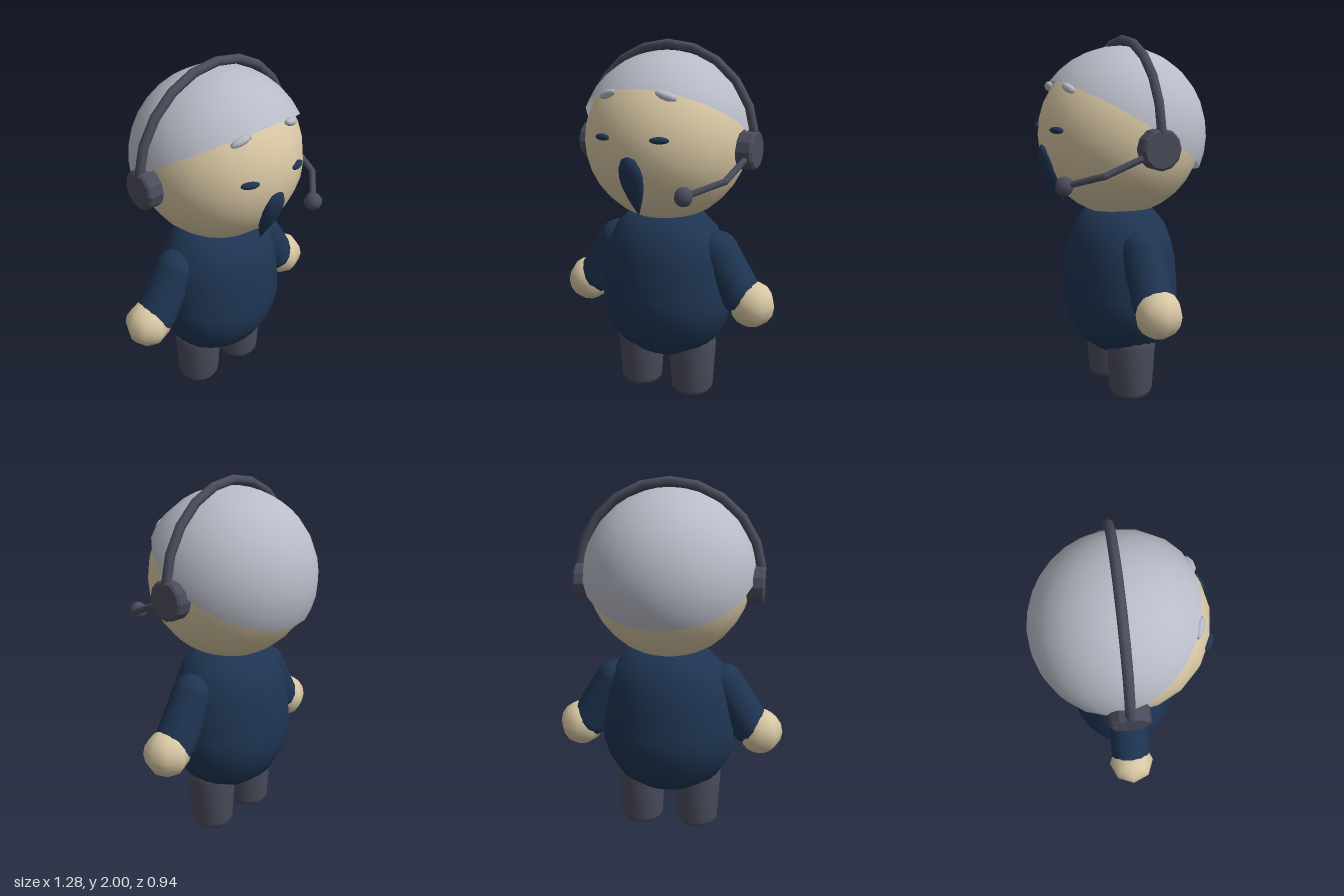
import * as THREE from 'three';

const mat = (name, color, side = THREE.FrontSide) => {
  const m = new THREE.MeshStandardMaterial({ color, side });
  m.name = name;
  return m;
};

export function createModel() {
  const model = new THREE.Group();
  model.name = 'headsetFigure';
  const skin = mat('skin', 0xd8c7a4);
  const navy = mat('navy', 0x1f3553);
  const grey = mat('darkGrey', 0x4a4c5c);
  const silver = mat('silverHair', 0xb9bcc8, THREE.DoubleSide);

  const add = (name, geo, material, x = 0, y = 0, z = 0) => {
    const mesh = new THREE.Mesh(geo, material);
    mesh.name = name;
    mesh.position.set(x, y, z);
    model.add(mesh);
    return mesh;
  };
  const lathe = (pts, segs) =>
    new THREE.LatheGeometry(pts.map(([r, y]) => new THREE.Vector2(r, y)), segs);
  const up = new THREE.Vector3(0, 1, 0);
  const aim = (mesh, a, b) => {
    mesh.position.copy(a).lerp(b, 0.5);
    mesh.quaternion.setFromUnitVectors(up, b.clone().sub(a).normalize());
    return mesh;
  };
  const v = (x, y, z) => new THREE.Vector3(x, y, z);

  // Egg-shaped torso, flatter from front to back
  const torso = lathe([[0, 0.24], [0.09, 0.245], [0.18, 0.27], [0.28, 0.335], [0.35, 0.44],
    [0.378, 0.54], [0.38, 0.62], [0.362, 0.8], [0.335, 0.9], [0.295, 0.985], [0.2, 1.08], [0, 1.085]], 24);
  add('torso', torso, navy).scale.z = 0.82;

  // Head and the tilted cap of hair
  add('head', new THREE.SphereGeometry(0.445, 20, 16), skin, 0, 1.475, 0);
  const hair = new THREE.SphereGeometry(0.472, 24, 8, 0, Math.PI * 2, 0, THREE.MathUtils.degToRad(84));
  add('hair', hair, silver, 0, 1.472, 0).rotation.x = THREE.MathUtils.degToRad(-32);

  // Parts that come in pairs
  for (const s of [1, -1]) {
    const side = s > 0 ? 'left' : 'right';

    const lock = add(side + 'Fringe', new THREE.SphereGeometry(1, 8, 6), silver, s * 0.165, 1.73, 0.347);
    lock.scale.set(0.058, 0.022, 0.022);
    lock.rotation.set(-0.5, s * 0.4, -s * 0.15);

    const eye = add(side + 'Eye', new THREE.SphereGeometry(1, 12, 8), navy, s * 0.16, 1.52, 0.412);
    eye.scale.set(0.05, 0.018, 0.022);
    eye.rotation.y = s * 0.37;

    const leg = lathe([[0, 0], [0.06, 0.008], [0.1, 0.025], [0.12, 0.055], [0.137, 0.32], [0.12, 0.4], [0, 0.45]], 14);
    add(side + 'Leg', leg, grey, s * 0.163);

    const a = v(s * 0.31, 0.875, 0), b = v(s * 0.455, 0.64, 0);
    aim(add(side + 'Arm', new THREE.CapsuleGeometry(0.113, a.distanceTo(b), 5, 14), navy), b, a);
    add(side + 'Hand', new THREE.SphereGeometry(0.127, 8, 8), skin, s * 0.515, 0.6, 0);

    // Ear cup with a bevelled rim
    const cup = lathe([[0, -0.047], [0.093, -0.047], [0.105, -0.036], [0.105, 0.036], [0.093, 0.047], [0, 0.047]], 12)
      .toNonIndexed();
    cup.computeVertexNormals();
    add(side + 'EarCup', cup, grey, s * 0.47, 1.438, -0.015).rotation.z = Math.PI / 2;
  }

  // Pointed beard leaning along the chin
  const beard = lathe([[0, -0.172], [0.02, -0.125], [0.045, -0.06], [0.062, 0.005], [0.068, 0.06],
    [0.06, 0.11], [0.038, 0.155], [0, 0.172]], 12);
  const beardMesh = add('beard', beard, navy, 0, 1.273, 0.388);
  beardMesh.scale.z = 0.6;
  beardMesh.rotation.x = 0.35;

  // Headband over the top
  const arc = THREE.MathUtils.degToRad(170);
  const band = new THREE.TorusGeometry(0.5, 0.025, 8, 10, arc).rotateZ((Math.PI - arc) / 2);
  add('headband', band, grey, 0, 1.475, -0.015);

  // Microphone boom with one bend
  const boom = [v(0.49, 1.43, 0), v(0.45, 1.317, 0.265), v(0.295, 1.255, 0.42)];
  for (let i = 0; i < 2; i++) {
    const rod = new THREE.CylinderGeometry(0.017, 0.017, boom[i].distanceTo(boom[i + 1]), 8);
    aim(add('microphoneBoom', rod, grey), boom[i], boom[i + 1]);
  }
  add('boomJoint', new THREE.SphereGeometry(0.018, 8, 6), grey, ...boom[1].toArray());
  add('microphone', new THREE.SphereGeometry(0.049, 8, 8), grey, ...boom[2].toArray());

  return model;
}
